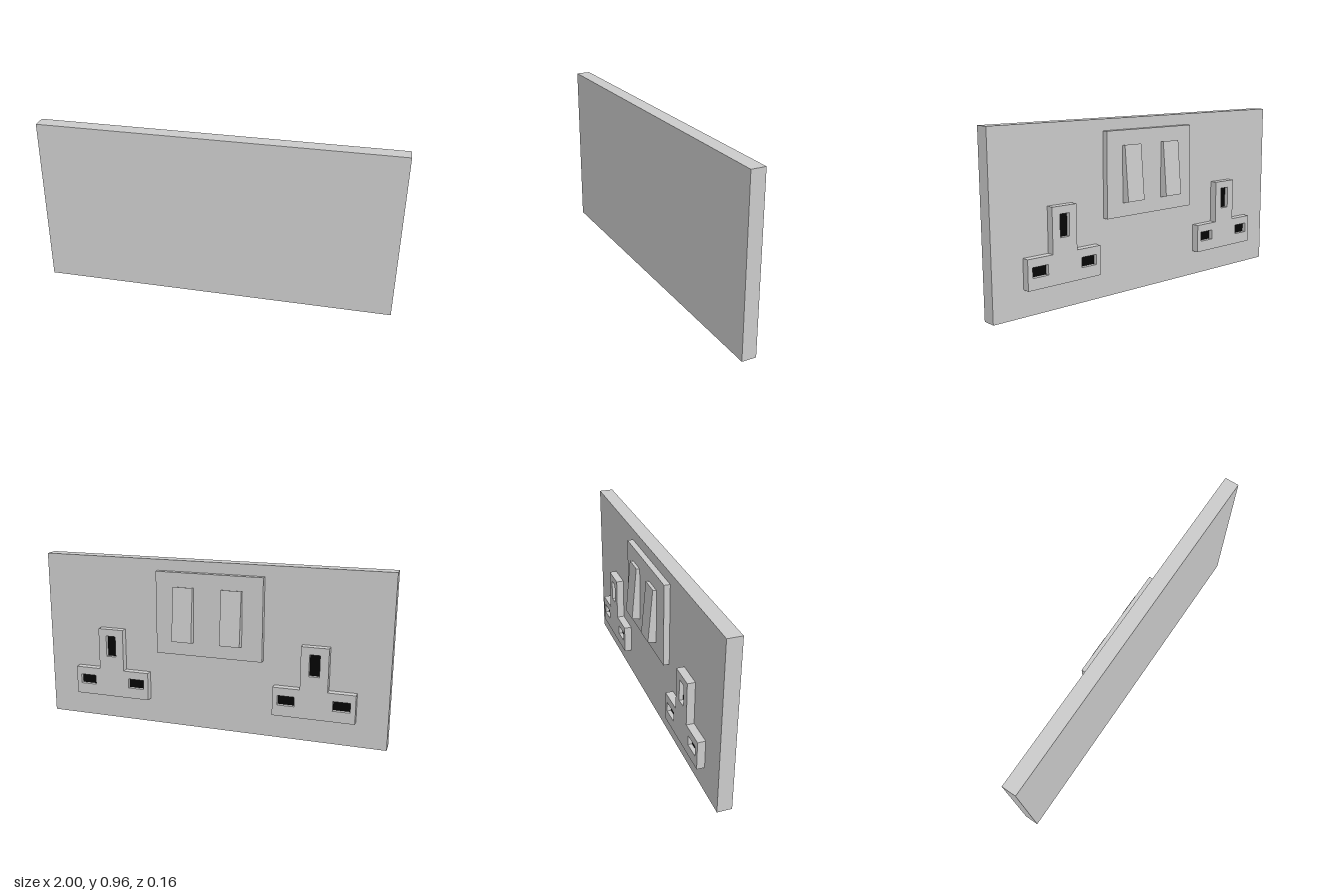
import * as THREE from 'three';

const grey = new THREE.MeshStandardMaterial({ color: 0xcccccc, flatShading: true });
const black = new THREE.MeshStandardMaterial({ color: 0x050505 });

// Box given by its limits on each axis
function box(name, [x0, x1], [y0, y1], [z0, z1], material = grey) {
  const mesh = new THREE.Mesh(new THREE.BoxGeometry(x1 - x0, y1 - y0, z1 - z0), material);
  mesh.position.set((x0 + x1) / 2, (y0 + y1) / 2, (z0 + z1) / 2);
  mesh.name = name;
  return mesh;
}

const extrude = (shape, depth) =>
  new THREE.ExtrudeGeometry(shape, { depth, bevelEnabled: false });
const points = (list) => list.map(([x, y]) => new THREE.Vector2(x, y));

// Slot limits relative to the socket centre: x0, x1, y0, y1
const slots = [
  [-0.2, -0.105, 0.205, 0.26],
  [0.105, 0.2, 0.205, 0.26],
  [-0.029, 0.029, 0.385, 0.507],
];

// Raised T-shaped block with three dark-bottomed slots
function socket(x) {
  const group = new THREE.Group();
  group.name = 'socket';
  const shape = new THREE.Shape(points([
    [-0.228, 0.143], [0.228, 0.143], [0.228, 0.305], [0.076, 0.305],
    [0.076, 0.548], [-0.076, 0.548], [-0.076, 0.305], [-0.228, 0.305],
  ]));
  for (const [x0, x1, y0, y1] of slots) {
    shape.holes.push(new THREE.Path(points([[x0, y0], [x0, y1], [x1, y1], [x1, y0]])));
    group.add(box('slotFloor', [x0, x1], [y0, y1], [-0.02, 0], black));
  }
  const block = new THREE.Mesh(extrude(shape, 0.042), grey);
  block.name = 'socketBlock';
  block.position.z = -0.042;
  group.add(block);
  group.position.x = x;
  return group;
}

// Tilted switch: side profile in (z, y), swept across its width
function rocker(x) {
  const width = 0.115;
  const profile = new THREE.Shape(points([
    [-0.02, 0.508], [-0.02, 0.819], [-0.053, 0.825], [-0.08, 0.52],
  ]));
  const geometry = extrude(profile, width);
  geometry.rotateY(-Math.PI / 2);
  geometry.translate(width / 2, 0, 0);
  const mesh = new THREE.Mesh(geometry, grey);
  mesh.name = 'rockerSwitch';
  mesh.position.x = x;
  return mesh;
}

export function createModel() {
  const model = new THREE.Group();
  model.name = 'doubleWallSocket';
  model.add(
    box('wallPlate', [-1, 1], [0, 0.965], [0, 0.08]),
    box('switchPanel', [-0.31, 0.307], [0.435, 0.903], [-0.033, 0]),
    rocker(-0.137), rocker(0.142),
    socket(-0.602), socket(0.593),
  );
  return model;
}
